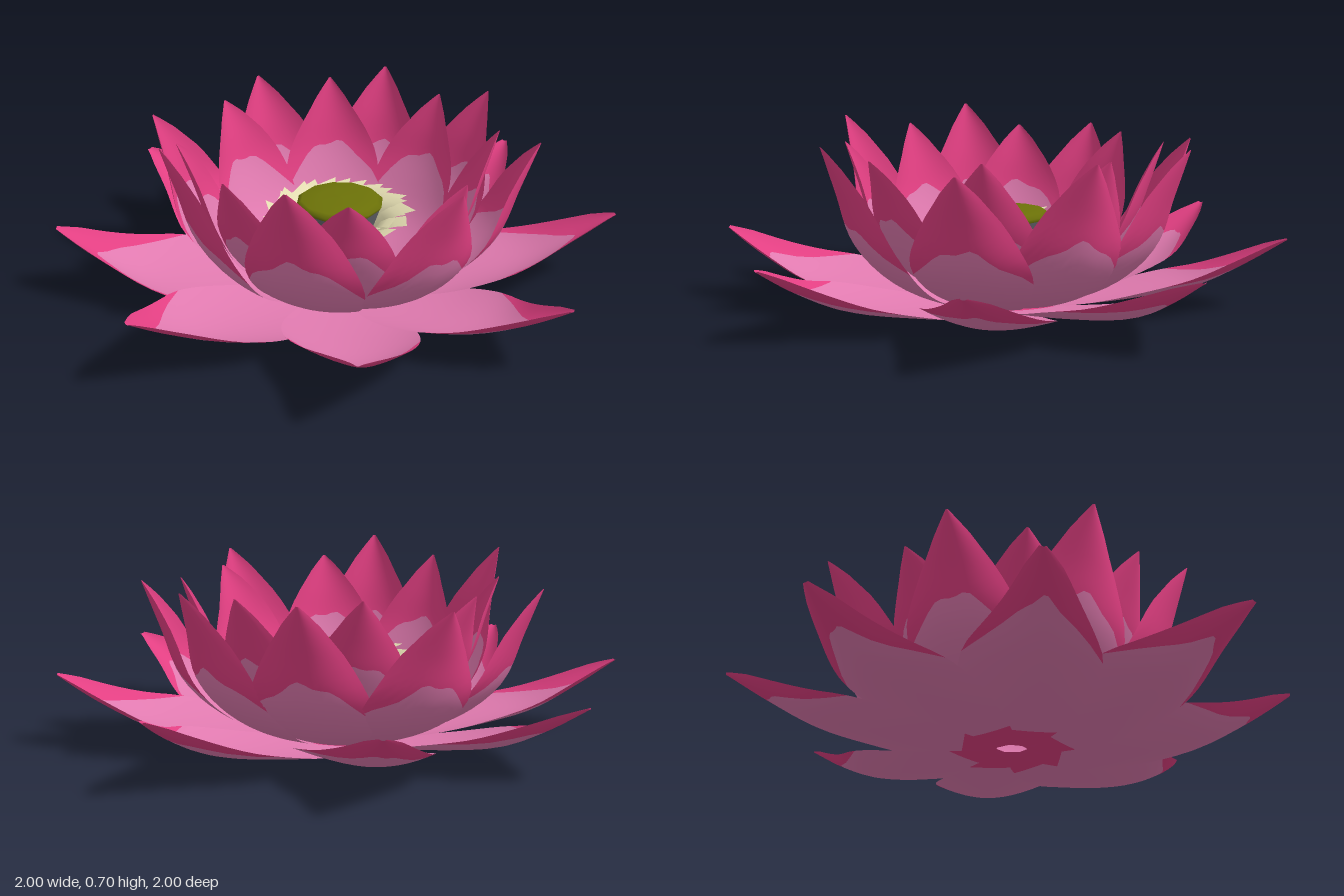
import * as THREE from 'three';

const mat = (name, color, side = THREE.DoubleSide) => {
  const m = new THREE.MeshStandardMaterial({ color, side });
  m.name = name;
  return m;
};

// Smooth curve through [a, b] pairs
const curve = (pts) => new THREE.SplineCurve(pts.map(([a, b]) => new THREE.Vector2(a, b)));

// Half-width of a petal, evenly spaced from base to tip, as a share of the widest point
const widths = (shares) => curve(shares.map((w, i) => [i / (shares.length - 1), w]));
const spreadingWidth = widths([0.3, 0.62, 0.88, 1, 0.98, 0.78, 0.54, 0.31, 0.05]);
const uprightWidth = widths([0.25, 0.43, 0.67, 0.89, 1, 0.93, 0.7, 0.36, 0.02]);

// Cupped petal pointing to -z: profile of [radius, height], coloured body and tip
function petalGeometry({ profile, shape, width, cup, roll, skew, patch, edge, base, seed }) {
  const spine = curve(profile);
  const cols = 14, bodyRows = 12, tipRows = 10, baseRows = 3;
  const rows = baseRows + bodyRows + tipRows;
  const pos = [];
  for (let j = 0; j <= rows; j++) {
    for (let i = 0; i <= cols; i++) {
      const u = (i / cols) * 2 - 1;
      // boundary of the pale body, lower towards the petal's edges
      const limit = patch - (patch - edge) * Math.abs(u) ** 2.2 + 0.012 * Math.sin(u * 9 + seed);
      let v;
      if (j <= baseRows) v = base * j / baseRows;
      else if (j <= baseRows + bodyRows) v = base + (limit - base) * (j - baseRows) / bodyRows;
      else v = limit + (1 - limit) * (j - baseRows - bodyRows) / tipRows;
      const p = spine.getPoint(v), t = spine.getTangent(v);
      const w = width * Math.max(0, shape.getPoint(v).y);
      const lift = cup * v * u * u * w;
      pos.push(
        u * w + skew * Math.sin(Math.PI * v * v),
        Math.max(0.002, p.y + t.x * lift + roll * u * w),
        -(p.x - t.y * lift)
      );
    }
  }
  const index = [];
  for (let j = 0; j < rows; j++) {
    for (let i = 0; i < cols; i++) {
      const a = j * (cols + 1) + i, b = a + cols + 1;
      index.push(a, a + 1, b, a + 1, b + 1, b);
    }
  }
  const g = new THREE.BufferGeometry();
  g.setAttribute('position', new THREE.Float32BufferAttribute(pos, 3));
  g.setIndex(index);
  const per = cols * 6;
  g.addGroup(0, baseRows * per, 1);
  g.addGroup(baseRows * per, bodyRows * per, 0);
  g.addGroup((baseRows + bodyRows) * per, tipRows * per, 1);
  g.computeVertexNormals();
  return g;
}

export function createModel() {
  const model = new THREE.Group();
  model.name = 'waterLily';
  const petalColors = [mat('palePink', 0xe07aaf), mat('hotPink', 0xe23f82)];
  const cream = mat('cream', 0xe4ddb2);
  const olive = mat('olive', 0x6c7208);
  const grey = mat('grey', 0x66666d);

  // Ring of petals; angles in degrees, clockwise from the back as seen from above
  const ring = (name, angles, options) => {
    const group = new THREE.Group();
    group.name = name;
    angles.forEach((angle, i) => {
      const petal = new THREE.Mesh(petalGeometry({ seed: i * 1.7, skew: 0, ...options(i) }), petalColors);
      petal.name = name.replace('Petals', 'Petal');
      petal.rotation.y = -THREE.MathUtils.degToRad(angle);
      group.add(petal);
    });
    model.add(group);
  };
  const eighths = Array.from({ length: 8 }, (_, i) => 22.5 + i * 45);

  // Low, spreading outer petals
  ring('outerPetals', eighths, (i) => ({
    profile: [[0.06, 0.01], [0.3, 0.024], [0.52, 0.05], [0.74, 0.095], [0.92, 0.18], [1.08, 0.28]],
    shape: spreadingWidth, width: 0.245, cup: 0.42, roll: 0.07, skew: i % 2 ? -0.022 : 0.022,
    patch: 0.8, edge: 0.49, base: 0.115,
  }));

  // Upright middle petals
  const tipHeights = [0.65, 0.65, 0.62, 0.66, 0.7, 0.7, 0.62, 0.62];
  const tipRadii = [0.75, 0.74, 0.76, 0.73, 0.69, 0.7, 0.77, 0.77];
  ring('middlePetals', [-4, 35, 73, 125, 176, 228, 270, 315], (i) => {
    const r = tipRadii[i], h = tipHeights[i];
    return {
      profile: [[0.06, 0.02], [0.27, 0.045], [r * 0.62, 0.13], [r * 0.81, h * 0.42], [r * 0.91, h * 0.72], [r, h]],
      shape: uprightWidth, width: 0.222, cup: 0.5, roll: 0.05, patch: 0.69, edge: 0.47, base: 0.12,
    };
  });

  // Upright inner petals
  ring('innerPetals', eighths, (i) => ({
    profile: [[0.07, 0.035], [0.22, 0.065], [0.39, 0.16], [0.5, 0.33], [0.56, 0.49], [0.61, 0.63 + 0.015 * Math.sin(i * 2)]],
    shape: uprightWidth, width: 0.19, cup: 0.38, roll: 0.05, patch: 0.68, edge: 0.47, base: 0.12,
  }));

  // Swirled stamens: leaning strips around the pod
  const stamens = new THREE.Group();
  stamens.name = 'stamens';
  const count = 13;
  for (let layer = 0; layer < 2; layer++) {
    const path = curve([[0.1, 0.1], [0.13, 0.2], [0.17, 0.285 + layer * 0.02], [0.27 - layer * 0.03, 0.325 + layer * 0.015]]);
    const strip = new THREE.PlaneGeometry(1, 1, 2, 6);
    const p = strip.attributes.position;
    for (let k = 0; k < p.count; k++) {
      const v = p.getY(k) + 0.5, u = p.getX(k) * 2;
      const q = path.getPoint(v);
      const half = 0.026 + 0.034 * v;
      // one corner runs ahead of the other to form a tooth
      p.setXYZ(k, u * half + 0.03 * v * v, q.y + 0.008 * u * v, -(q.x + 0.012 * u * v));
    }
    strip.computeVertexNormals();
    for (let i = 0; i < count; i++) {
      const s = new THREE.Mesh(strip, cream);
      s.name = 'stamen';
      s.rotation.y = -((i + layer * 0.5) / count) * Math.PI * 2;
      stamens.add(s);
    }
  }
  model.add(stamens);

  // Seed pod: tapering side and slightly domed top
  const lathe = (name, pts, material) => {
    const m = new THREE.Mesh(new THREE.LatheGeometry(pts.map(([r, y]) => new THREE.Vector2(r, y)), 12), material);
    m.name = name;
    m.position.z = -0.015;
    model.add(m);
  };
  lathe('podSide', [[0.07, 0.1], [0.09, 0.15], [0.13, 0.26], [0.16, 0.345]], grey);
  lathe('podTop', [[0.16, 0.345], [0.168, 0.36], [0.15, 0.374], [0.08, 0.378], [0, 0.38]], olive);

  return model;
}
